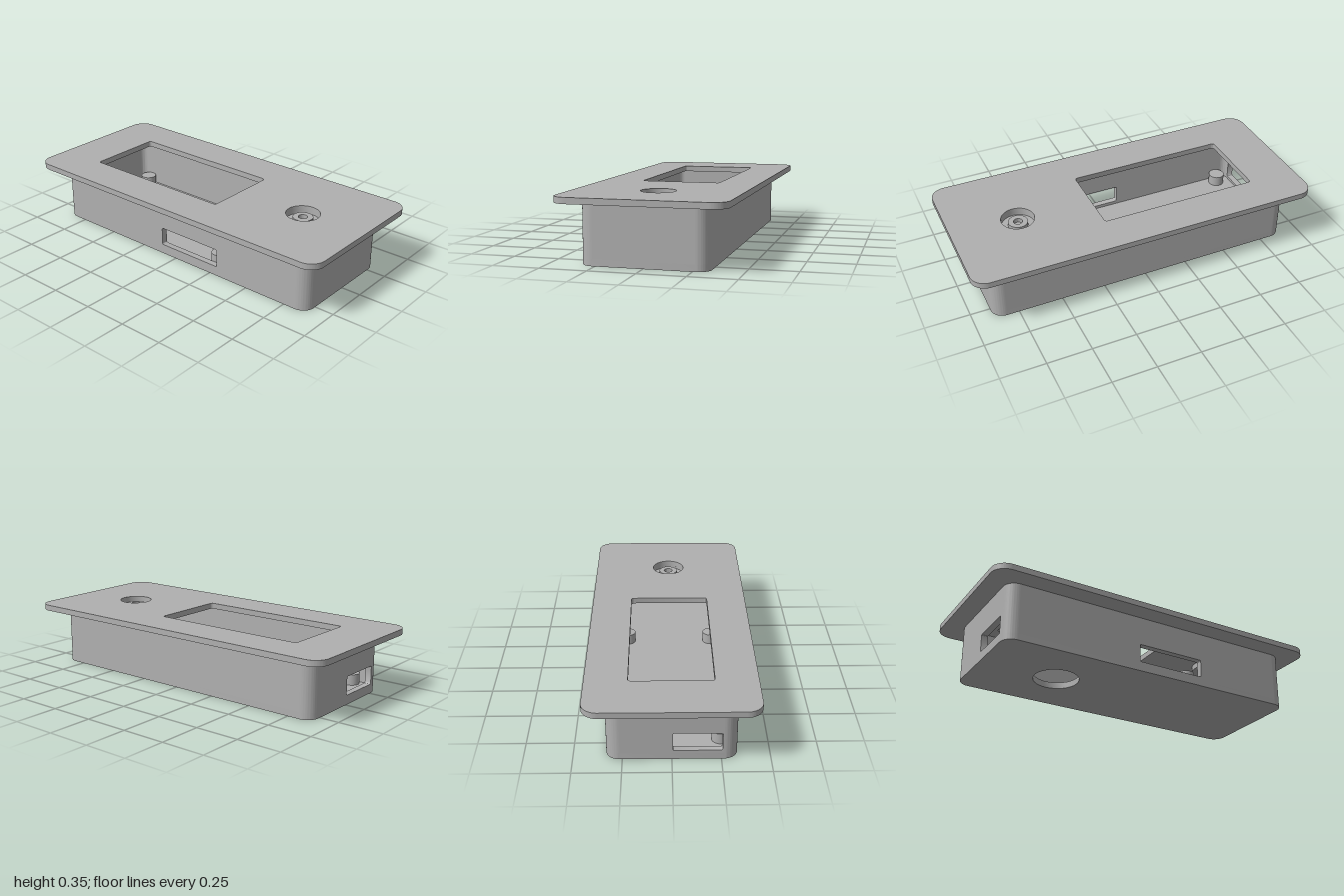
import * as THREE from 'three';
import { toCreasedNormals } from 'three/addons/utils/BufferGeometryUtils.js';

const grey = new THREE.MeshStandardMaterial({ color: 0xb0b0b0 });
grey.name = 'matte grey plastic';

const HX = 0.89, HZ = 0.333, R = 0.07; // case half sizes and corner radius
const WALL = 0.036, PLATE_Y = 0.322, TOP = 0.355;

// Rounded rectangle outline, as a Shape or as a hole Path
function roundRect(x0, y0, x1, y1, r, Type = THREE.Shape) {
  const s = new Type();
  s.moveTo(x0 + r, y0);
  s.lineTo(x1 - r, y0);
  s.absarc(x1 - r, y0 + r, r, -Math.PI / 2, 0);
  s.lineTo(x1, y1 - r);
  s.absarc(x1 - r, y1 - r, r, 0, Math.PI / 2);
  s.lineTo(x0 + r, y1);
  s.absarc(x0 + r, y1 - r, r, Math.PI / 2, Math.PI);
  s.lineTo(x0, y0 + r);
  s.absarc(x0 + r, y0 + r, r, Math.PI, Math.PI * 1.5);
  return s;
}

function circle(x, y, r, Type = THREE.Path) {
  const p = new Type();
  p.absarc(x, y, r, 0, Math.PI * 2);
  return p;
}

function extrude(shape, depth) {
  const g = new THREE.ExtrudeGeometry(shape, { depth, bevelEnabled: false, curveSegments: 16 });
  return toCreasedNormals(g, 0.6);
}

// Extrude a plan outline upwards from y0 to y1
const slab = (shape, y0, y1) => extrude(shape, y1 - y0).rotateX(-Math.PI / 2).translate(0, y0, 0);

export function createModel() {
  const model = new THREE.Group();
  model.name = 'panelMountEnclosure';
  const add = (name, geometry, parent = model) => {
    const mesh = new THREE.Mesh(geometry, grey);
    mesh.name = name;
    parent.add(mesh);
    return mesh;
  };

  // Face plate with display opening and round button recess
  const plate = roundRect(-1, -0.443, 1, 0.443, 0.085);
  plate.holes.push(roundRect(-0.715, -0.22, 0.195, 0.22, 0.015, THREE.Path), circle(0.62, 0, 0.093));
  add('facePlate', slab(plate, PLATE_Y, TOP));

  // Recess cup with a raised ring in its middle
  const cup = [[0, 0.29], [0.12, 0.29], [0.12, PLATE_Y], [0.093, PLATE_Y], [0.093, 0.31], [0.055, 0.31],
    [0.055, 0.335], [0.025, 0.335], [0.025, 0.31], [0, 0.31]].map(([r, y]) => new THREE.Vector2(r, y));
  const cupGeometry = toCreasedNormals(new THREE.LatheGeometry(cup, 40), 0.6);
  add('buttonRecess', cupGeometry.translate(0.62, 0, 0));

  // Floor with cable hole
  const floor = roundRect(-HX, -HZ, HX, HZ, R);
  floor.holes.push(circle(-0.44, 0, 0.127));
  add('floor', slab(floor, 0, WALL));

  // Flat wall panels; a turn about y brings each one to its side
  const wall = (name, half, distance, turn, opening) => {
    const s = roundRect(-half, WALL, half, PLATE_Y, 0);
    if (opening) s.holes.push(opening);
    add(name, extrude(s, WALL).translate(0, 0, distance - WALL).rotateY(turn));
  };
  const frontWindow = roundRect(-0.1, 0.055, 0.3, 0.158, 0.008, THREE.Path);
  const sidePort = roundRect(0.005, 0.052, 0.255, 0.155, 0.008, THREE.Path);
  wall('frontWall', HX - R, HZ, 0, frontWindow);
  wall('backWall', HX - R, HZ, Math.PI);
  wall('leftWall', HZ - R, HX, Math.PI / 2);
  wall('rightWall', HZ - R, HX, -Math.PI / 2, sidePort);

  // Rounded corner pieces joining the panels
  [[1, 1], [-1, 1], [-1, -1], [1, -1]].forEach(([sx, sy], i) => {
    const a = i * Math.PI / 2;
    const cx = sx * (HX - R), cy = sy * (HZ - R);
    const s = new THREE.Shape();
    s.absarc(cx, cy, R, a, a + Math.PI / 2);
    s.absarc(cx, cy, R - WALL, a + Math.PI / 2, a, true);
    add('cornerWall', slab(s, WALL, PLATE_Y));
  });

  // Four short support posts on the floor
  for (const x of [-0.77, 0.253]) {
    for (const z of [-0.25, 0.25]) {
      const post = add('supportPost', new THREE.CylinderGeometry(0.046, 0.046, 0.06, 28));
      post.position.set(x, 0.066, z);
    }
  }
  return model;
}
